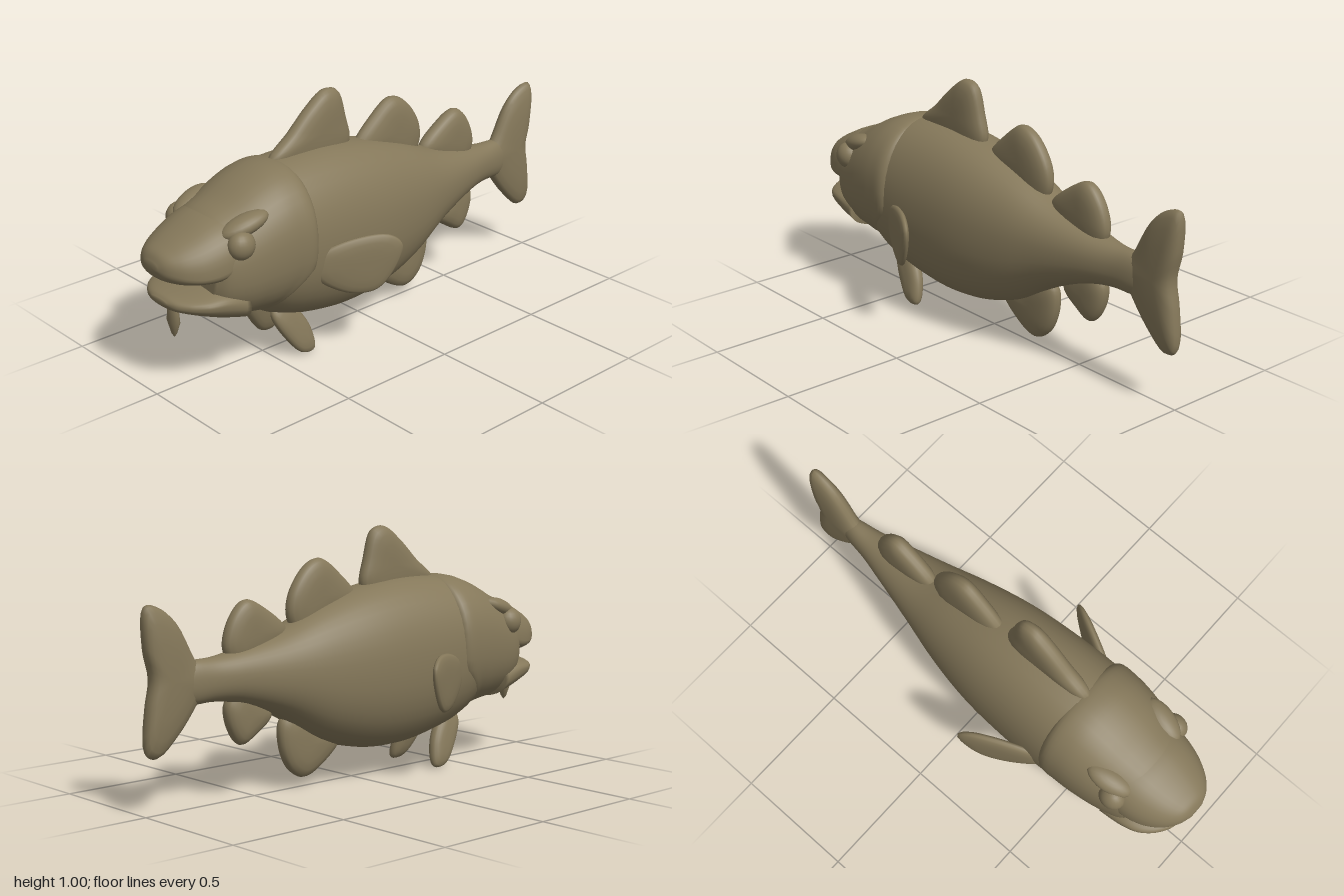
import * as THREE from 'three';

const skin = new THREE.MeshStandardMaterial({ color: 0x85785a });
skin.name = 'olive skin';

// Closed smooth surface through rings of points, with both ends capped
function skinRings(rings) {
  const n = rings[0].length, pos = [], idx = [];
  for (const r of rings) for (const p of r) pos.push(p.x, p.y, p.z);
  for (let i = 0; i < rings.length - 1; i++) {
    for (let j = 0; j < n; j++) {
      const a = i * n + j, b = i * n + (j + 1) % n;
      idx.push(a, b, a + n, b, b + n, a + n);
    }
  }
  [0, rings.length - 1].forEach((k, end) => {
    const c = new THREE.Vector3();
    rings[k].forEach(p => c.addScaledVector(p, 1 / n));
    const ci = pos.length / 3;
    pos.push(c.x, c.y, c.z);
    for (let j = 0; j < n; j++) {
      const a = k * n + j, b = k * n + (j + 1) % n;
      if (end) idx.push(ci, a, b); else idx.push(ci, b, a);
    }
  });
  // Turn the faces outward if the enclosed volume is negative
  const v = i => new THREE.Vector3().fromArray(pos, i * 3);
  let vol = 0;
  for (let i = 0; i < idx.length; i += 3) vol += v(idx[i]).dot(v(idx[i + 1]).cross(v(idx[i + 2])));
  if (vol < 0) idx.reverse();
  const g = new THREE.BufferGeometry();
  g.setAttribute('position', new THREE.Float32BufferAttribute(pos, 3));
  g.setIndex(idx);
  g.computeVertexNormals();
  return g;
}

// Rounded loft along z; each section is [z, bottom, top, halfWidth, heightOfWidest]
function loft(sections, power = 2.2, shear = () => 0) {
  const heights = new THREE.CatmullRomCurve3(sections.map(s => new THREE.Vector3(s[0], s[1], s[2])));
  const widths = new THREE.CatmullRomCurve3(sections.map(s => new THREE.Vector3(s[3], s[4] ?? (s[1] + s[2]) / 2, s[0])));
  const steps = (sections.length - 1) * 5, rings = [];
  const round = c => Math.sign(c) * Math.abs(c) ** (2 / power);
  for (let i = 0; i <= steps; i++) {
    const h = heights.getPoint(i / steps), w = widths.getPoint(i / steps), ring = [];
    for (let j = 0; j < 40; j++) {
      const a = j / 40 * Math.PI * 2, s = round(Math.sin(a));
      const y = w.y + s * (s > 0 ? h.z - w.y : w.y - h.y);
      ring.push(new THREE.Vector3(w.x * round(Math.cos(a)), y, h.x + shear(h.x, y)));
    }
    rings.push(ring);
  }
  return skinRings(rings);
}

// Puffy fin from a side outline of [z, y]; bend gives x for each point
function fin(outline, half, bend = () => 0) {
  const curve = new THREE.CatmullRomCurve3(outline.map(([z, y]) => new THREE.Vector3(0, y, z)), true);
  const edge = curve.getPoints(48).slice(0, -1);
  const mid = new THREE.Vector3();
  edge.forEach(p => mid.addScaledVector(p, 1 / edge.length));
  const levels = [0.2, 0.5, 0.75, 0.9, 0.97, 1];
  const steps = [...levels.map(t => [t, 1]), ...levels.slice(0, -1).reverse().map(t => [t, -1])];
  return skinRings(steps.map(([t, side]) => edge.map(p => {
    const q = mid.clone().lerp(p, t);
    q.x = bend(q.z, q.y) + side * half * Math.sqrt(1 - t ** 4);
    return q;
  })));
}

export function createModel() {
  const model = new THREE.Group();
  model.name = 'fish';
  const add = (name, geometry) => {
    const m = new THREE.Mesh(geometry, skin);
    m.name = name;
    model.add(m);
    return m;
  };

  // Trunk, from inside the head to the tail root
  add('body', loft([
    [0.72, 0.36, 0.62, 0.12], [0.6, 0.25, 0.73, 0.21], [0.5, 0.185, 0.775, 0.235],
    [0.4, 0.15, 0.79, 0.24], [0.2, 0.115, 0.79, 0.235], [0, 0.125, 0.76, 0.22],
    [-0.2, 0.185, 0.7, 0.185], [-0.4, 0.3, 0.62, 0.135], [-0.6, 0.375, 0.57, 0.085],
    [-0.7, 0.39, 0.555, 0.06], [-0.8, 0.39, 0.55, 0.042], [-0.88, 0.42, 0.52, 0.02],
  ]));

  // Head, whose rear rim sweeps forward underneath as the gill cover
  add('head', loft([
    [0.39, 0.3, 0.74, 0.19], [0.42, 0.235, 0.785, 0.246], [0.5, 0.235, 0.787, 0.251],
    [0.6, 0.24, 0.755, 0.242], [0.7, 0.25, 0.705, 0.222], [0.79, 0.285, 0.665, 0.193],
    [0.83, 0.33, 0.62, 0.15],
  ], 2.25, (z, y) => 0.85 * Math.max(0, 0.42 - y) * Math.min(1, Math.max(0, (0.64 - z) / 0.22))));

  // Jaws with an open mouth between them
  add('upperJaw', loft([
    [0.7, 0.45, 0.69, 0.2, 0.54], [0.8, 0.435, 0.665, 0.194, 0.5], [0.88, 0.445, 0.63, 0.17, 0.49],
    [0.94, 0.455, 0.6, 0.132, 0.5], [0.98, 0.475, 0.575, 0.085, 0.515], [1, 0.51, 0.54, 0.035, 0.525],
  ], 2.3));
  add('lowerJaw', loft([
    [0.7, 0.255, 0.42, 0.2], [0.8, 0.285, 0.422, 0.197, 0.37], [0.87, 0.315, 0.412, 0.178, 0.375],
    [0.92, 0.335, 0.405, 0.14, 0.375], [0.955, 0.35, 0.4, 0.09, 0.375], [0.972, 0.37, 0.388, 0.04, 0.38],
  ], 2.3));

  // Chin barbel
  const barbel = add('chinBarbel', new THREE.LatheGeometry(
    [[0, 0.21], [0.014, 0.225], [0.034, 0.275], [0.03, 0.32], [0.026, 0.37], [0, 0.38]]
      .map(([r, y]) => new THREE.Vector2(r, y)), 12));
  barbel.scale.z = 0.55;
  barbel.position.z = 0.91;

  // Fins along the middle
  const middleFins = {
    frontDorsalFin: [[0.45, 0.77], [0.35, 0.86], [0.25, 0.95], [0.17, 1], [0.11, 0.985], [0.07, 0.87], [0.05, 0.77], [0.1, 0.7], [0.3, 0.7]],
    middleDorsalFin: [[0.02, 0.72], [-0.08, 0.835], [-0.17, 0.89], [-0.24, 0.865], [-0.32, 0.76], [-0.33, 0.67], [-0.28, 0.6], [-0.1, 0.65]],
    rearDorsalFin: [[-0.34, 0.62], [-0.45, 0.72], [-0.54, 0.755], [-0.61, 0.69], [-0.64, 0.58], [-0.6, 0.52], [-0.42, 0.55]],
    frontAnalFin: [[-0.07, 0.17], [-0.17, 0.075], [-0.26, 0.04], [-0.33, 0.08], [-0.375, 0.18], [-0.37, 0.28], [-0.3, 0.31], [-0.15, 0.23]],
    rearAnalFin: [[-0.42, 0.31], [-0.5, 0.24], [-0.57, 0.21], [-0.62, 0.27], [-0.635, 0.37], [-0.58, 0.43], [-0.48, 0.39]],
    tailFin: [[-0.72, 0.47], [-0.78, 0.56], [-0.86, 0.7], [-0.93, 0.755], [-0.99, 0.765], [-0.995, 0.62], [-0.97, 0.5], [-0.99, 0.38], [-0.995, 0.23], [-0.95, 0.21], [-0.86, 0.28], [-0.77, 0.39]],
  };
  for (const [name, outline] of Object.entries(middleFins)) add(name, fin(outline, 0.042));

  // Paired parts
  const pectoral = [[0.41, 0.37], [0.39, 0.45], [0.3, 0.495], [0.15, 0.505], [0.1, 0.46], [0.14, 0.34], [0.2, 0.28], [0.3, 0.285]];
  const pelvic = [[0.52, 0.2], [0.46, 0.07], [0.4, 0.01], [0.345, 0.012], [0.35, 0.1], [0.4, 0.19], [0.46, 0.24]];
  for (const s of [1, -1]) {
    const side = s > 0 ? 'left' : 'right';
    add(side + 'PectoralFin', fin(pectoral, 0.024, z => s * (0.215 + (0.4 - z) * 0.49)));
    add(side + 'PelvicFin', fin(pelvic, 0.03, (z, y) => s * (0.085 + (0.2 - y) * 0.21)));
    const eye = add(side + 'Eye', new THREE.SphereGeometry(0.055, 20, 14));
    eye.position.set(s * 0.185, 0.585, 0.73);
    eye.scale.x = 0.85;
    const brow = add(side + 'Brow', new THREE.SphereGeometry(0.1, 20, 12));
    brow.position.set(s * 0.155, 0.645, 0.69);
    brow.scale.set(0.5, 0.36, 1);
    brow.rotation.set(0.3, s * -0.2, 0);
  }
  return model;
}
